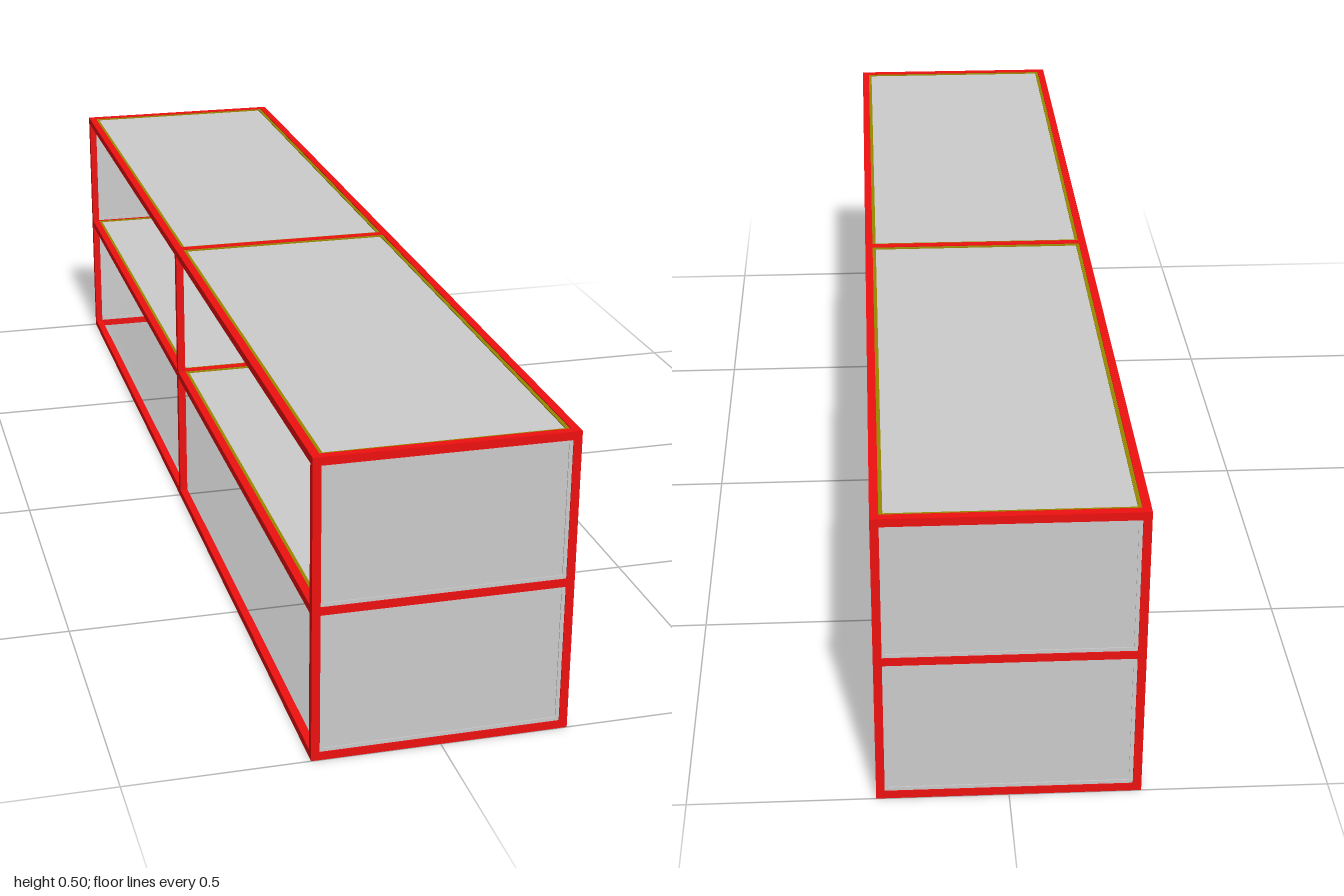
import * as THREE from 'three';

const W = 0.413, H = 0.502, L = 2;   // overall width, height, length
const T = 0.0135;                    // square rail thickness
const SEAL = 0.006;                  // visible seal around each panel
const red = new THREE.MeshStandardMaterial({ color: 0xee1010 });
const lightRed = new THREE.MeshStandardMaterial({ color: 0xf04040 });
const grey = new THREE.MeshStandardMaterial({ color: 0xcccccc });
const paleGrey = new THREE.MeshStandardMaterial({ color: 0xdddddd });
const olive = new THREE.MeshStandardMaterial({ color: 0x998800 });

function box(parent, name, size, pos, material) {
  const mesh = new THREE.Mesh(new THREE.BoxGeometry(...size), material);
  mesh.name = name;
  mesh.position.set(...pos);
  parent.add(mesh);
}

// A panel w by h in its local xy plane, outer face towards local +z at z = 0
function panel(name, w, h, sealMaterial) {
  const g = new THREE.Group();
  g.name = name;
  const ring = new THREE.Shape();
  const rect = (p, a, b) => p.moveTo(-a, -b).lineTo(a, -b).lineTo(a, b).lineTo(-a, b).closePath();
  rect(ring, w / 2, h / 2);
  const hole = new THREE.Path();
  rect(hole, w / 2 - SEAL, h / 2 - SEAL);
  ring.holes.push(hole);
  const seal = new THREE.Mesh(
    new THREE.ExtrudeGeometry(ring, { depth: 0.01, bevelEnabled: false }), sealMaterial);
  seal.name = 'panelSeal';
  seal.position.z = -0.0115;
  g.add(seal);
  box(g, 'panelSheet', [w - 2 * SEAL, h - 2 * SEAL, 0.007], [0, 0, -0.0065], grey);
  return g;
}

export function createModel() {
  const model = new THREE.Group();
  model.name = 'shelfUnit';
  const frame = new THREE.Group();
  frame.name = 'frame';
  model.add(frame);

  const px = (W - T) / 2, pz = (L - T) / 2;
  const levels = [T / 2, 0.253, H - T / 2];

  // Posts at the ends and middle of both long sides
  for (const x of [-px, px])
    for (const z of [-pz, 0, pz])
      box(frame, 'post', [T, H, T], [x, H / 2, z], red);

  // Long rails and cross bars; the floor has no middle bar
  levels.forEach((y, i) => {
    for (const x of [-px, px])
      for (const s of [-1, 1])
        box(frame, 'longRail', [T, T, pz - T], [x, y, s * pz / 2], i === 1 && x > 0 ? lightRed : red);
    for (const z of i === 0 ? [-pz, pz] : [-pz, 0, pz])
      box(frame, 'crossBar', [W - 2 * T, T, T], [0, y, z], red);
  });

  const bayL = pz - T, bayW = W - 2 * T;
  for (let i = 0; i < 2; i++) {
    const bayH = levels[i + 1] - levels[i] - T;
    const y = (levels[i] + levels[i + 1]) / 2;
    for (const s of [-1, 1]) {
      // End panels
      const end = panel('endPanel', bayW, bayH, paleGrey);
      end.position.set(0, y, s * L / 2);
      if (s < 0) end.rotation.y = Math.PI;
      // Closed long side
      const side = panel('sidePanel', bayL, bayH, paleGrey);
      side.position.set(W / 2, y, s * pz / 2);
      side.rotation.y = Math.PI / 2;
      // Middle shelf and top
      const deck = panel(i ? 'topPanel' : 'shelfPanel', bayW, bayL, olive);
      deck.position.set(0, levels[i + 1] + T / 2, s * pz / 2);
      deck.rotation.x = -Math.PI / 2;
      model.add(end, side, deck);
    }
  }
  return model;
}
